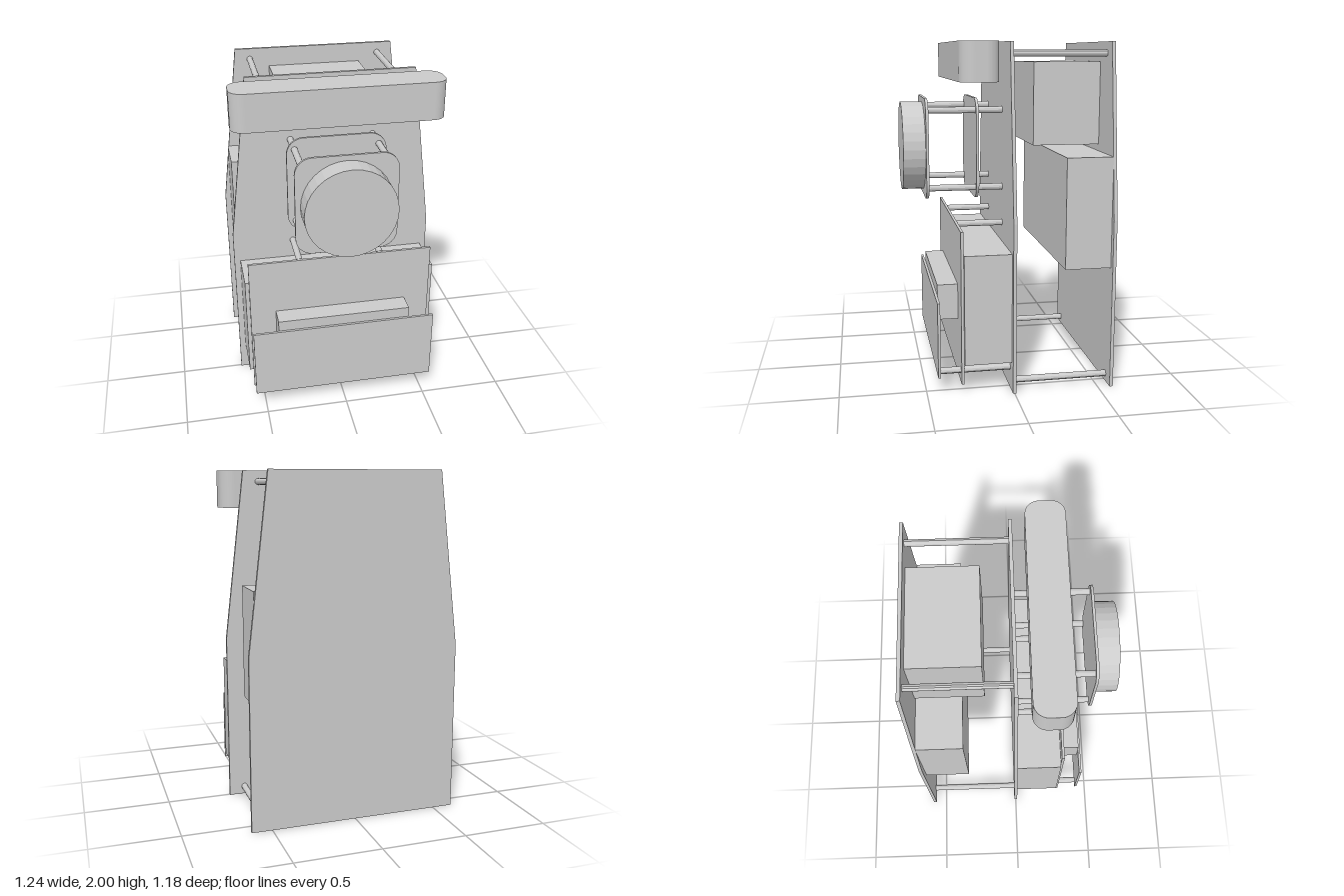
import * as THREE from 'three';

const material = new THREE.MeshStandardMaterial({ color: 0xcccccc, flatShading: true });

export function createModel() {
  const root = new THREE.Group();

  function add(name, geometry, x = 0, y = 0, z = 0) {
    const mesh = new THREE.Mesh(geometry, material);
    mesh.name = name;
    mesh.position.set(x, y, z);
    root.add(mesh);
    return mesh;
  }

  // Box centred on x, given by half width and its y and z ranges
  function block(name, halfW, y0, y1, z0, z1) {
    add(name, new THREE.BoxGeometry(halfW * 2, y1 - y0, z1 - z0), 0, (y0 + y1) / 2, (z0 + z1) / 2);
  }

  // Mirrored pair of standoff rods running along z
  function rodPair(name, x, y, z0, z1) {
    for (const side of [1, -1]) {
      const geometry = new THREE.CylinderGeometry(0.019, 0.019, z1 - z0, 12).rotateX(Math.PI / 2);
      add(name + (side > 0 ? 'Left' : 'Right'), geometry, side * x, y, (z0 + z1) / 2);
    }
  }

  function extrude(shape, depth) {
    return new THREE.ExtrudeGeometry(shape, { depth, bevelEnabled: false, curveSegments: 8 });
  }

  // Rectangle with rounded corners, centred on the origin
  function roundedRect(w, h, r) {
    const x = w / 2 - r, y = h / 2 - r;
    const s = new THREE.Shape();
    s.absarc(x, y, r, 0, Math.PI / 2);
    s.absarc(-x, y, r, Math.PI / 2, Math.PI);
    s.absarc(-x, -y, r, Math.PI, Math.PI * 1.5);
    s.absarc(x, -y, r, Math.PI * 1.5, Math.PI * 2);
    s.closePath();
    return s;
  }

  // Two large tapered plates
  const outline = new THREE.Shape(
    [[-0.62, 0], [0.62, 0], [0.62, 1], [0.5, 2], [-0.5, 2], [-0.62, 1]].map(([x, y]) => new THREE.Vector2(x, y))
  );
  add('frontMainPlate', extrude(outline, 0.02), 0, 0, -0.01);
  add('backMainPlate', extrude(outline, 0.02), 0, 0, -0.59);
  rodPair('upperMainRod', 0.41, 1.935, -0.57, -0.01);
  rodPair('lowerMainRod', 0.527, 0.047, -0.57, -0.01);

  // Modules mounted between the main plates
  block('upperInnerModule', 0.29, 1.4, 1.885, -0.57, -0.17);
  block('lowerInnerModule', 0.583, 0.715, 1.36, -0.57, -0.3);

  // Rounded sensor bar at the top
  add('sensorBar', extrude(roundedRect(1.22, 0.22, 0.08), 0.22).rotateX(-Math.PI / 2), 0, 1.78, 0.19);

  // Round scanner on two rounded plates
  for (const [name, z] of [['scannerFrontPlate', 0.445], ['scannerRearPlate', 0.153]]) {
    add(name, extrude(roundedRect(0.59, 0.59, 0.1), 0.016), 0, 1.382, z);
  }
  add('scannerDrum', new THREE.CylinderGeometry(0.265, 0.265, 0.129, 32).rotateX(Math.PI / 2), 0, 1.382, 0.5255);
  rodPair('scannerUpperRod', 0.248, 1.61, 0.01, 0.445);
  rodPair('scannerLowerRod', 0.248, 1.155, 0.01, 0.445);

  // Lower stack of modules and plates
  block('batteryModule', 0.583, 0.175, 0.82, 0.01, 0.284);
  block('middlePlate', 0.56, 0.052, 0.953, 0.284, 0.3);
  block('smallModule', 0.405, 0.4, 0.61, 0.3, 0.42);
  block('lowerFrontPlate', 0.56, 0.1, 0.545, 0.42, 0.435);
  rodPair('stackUpperRod', 0.248, 0.937, 0.01, 0.284);
  rodPair('stackLowerRod', 0.517, 0.127, 0.01, 0.42);

  return root;
}
